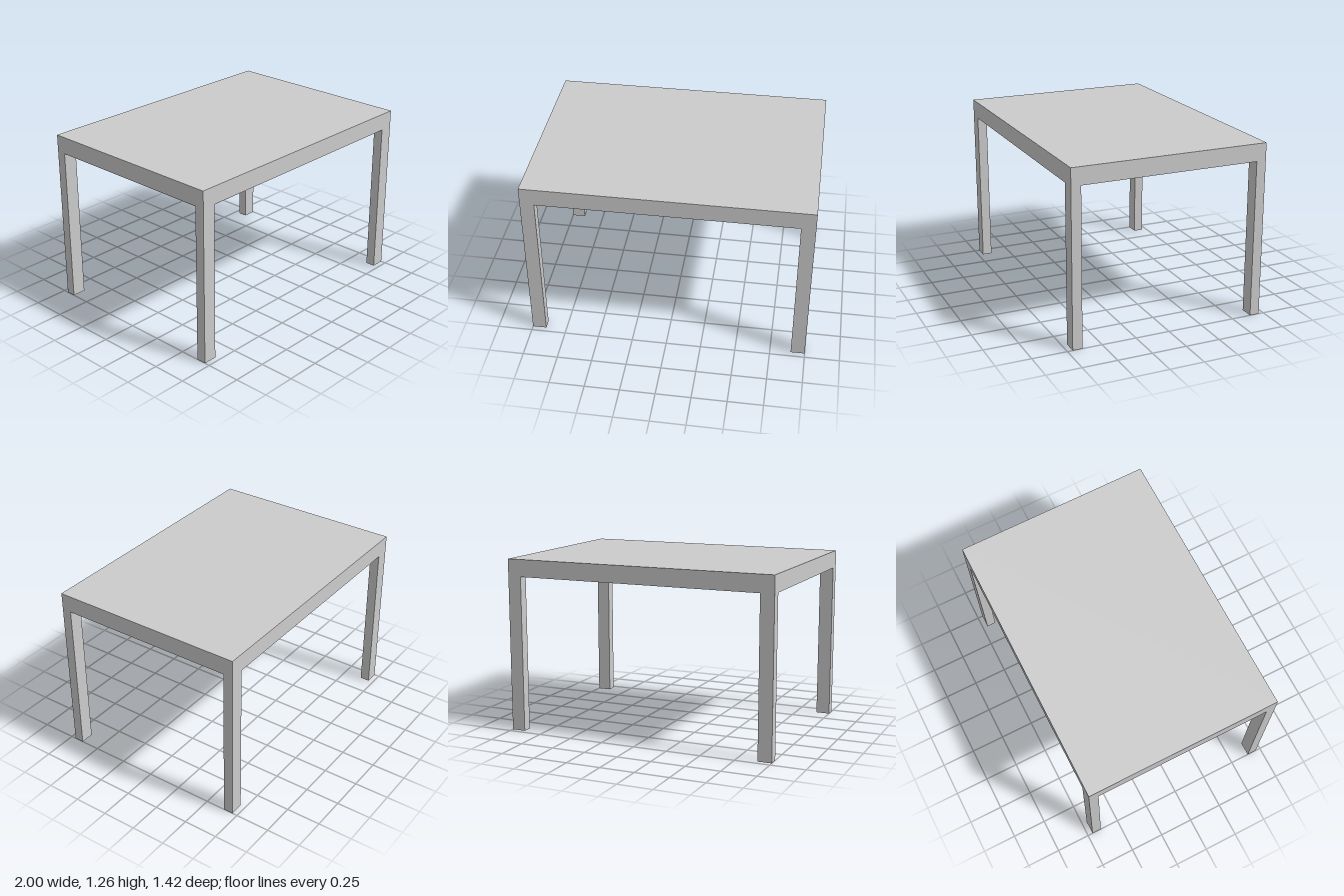
import * as THREE from 'three';

const WIDTH = 2, DEPTH = 1.424, HEIGHT = 1.258;
const TOP_THICKNESS = 0.125;
const LEG_WIDTH = 0.1, LEG_DEPTH = 0.07;

export function createModel() {
  const table = new THREE.Group();
  table.name = 'table';
  const material = new THREE.MeshStandardMaterial({ color: 0xcccccc, flatShading: true });

  const addBox = (name, w, h, d, x, y, z) => {
    const mesh = new THREE.Mesh(new THREE.BoxGeometry(w, h, d), material);
    mesh.name = name;
    mesh.position.set(x, y, z);
    table.add(mesh);
  };

  // Solid slab top
  addBox('tableTop', WIDTH, TOP_THICKNESS, DEPTH, 0, HEIGHT - TOP_THICKNESS / 2, 0);

  // Four legs, flush with the corners of the top
  const legHeight = HEIGHT - TOP_THICKNESS;
  for (const [sideName, sx] of [['Left', 1], ['Right', -1]]) {
    for (const [endName, sz] of [['front', 1], ['back', -1]]) {
      addBox(`${endName}${sideName}Leg`, LEG_WIDTH, legHeight, LEG_DEPTH,
        sx * (WIDTH - LEG_WIDTH) / 2, legHeight / 2, sz * (DEPTH - LEG_DEPTH) / 2);
    }
  }

  return table;
}
